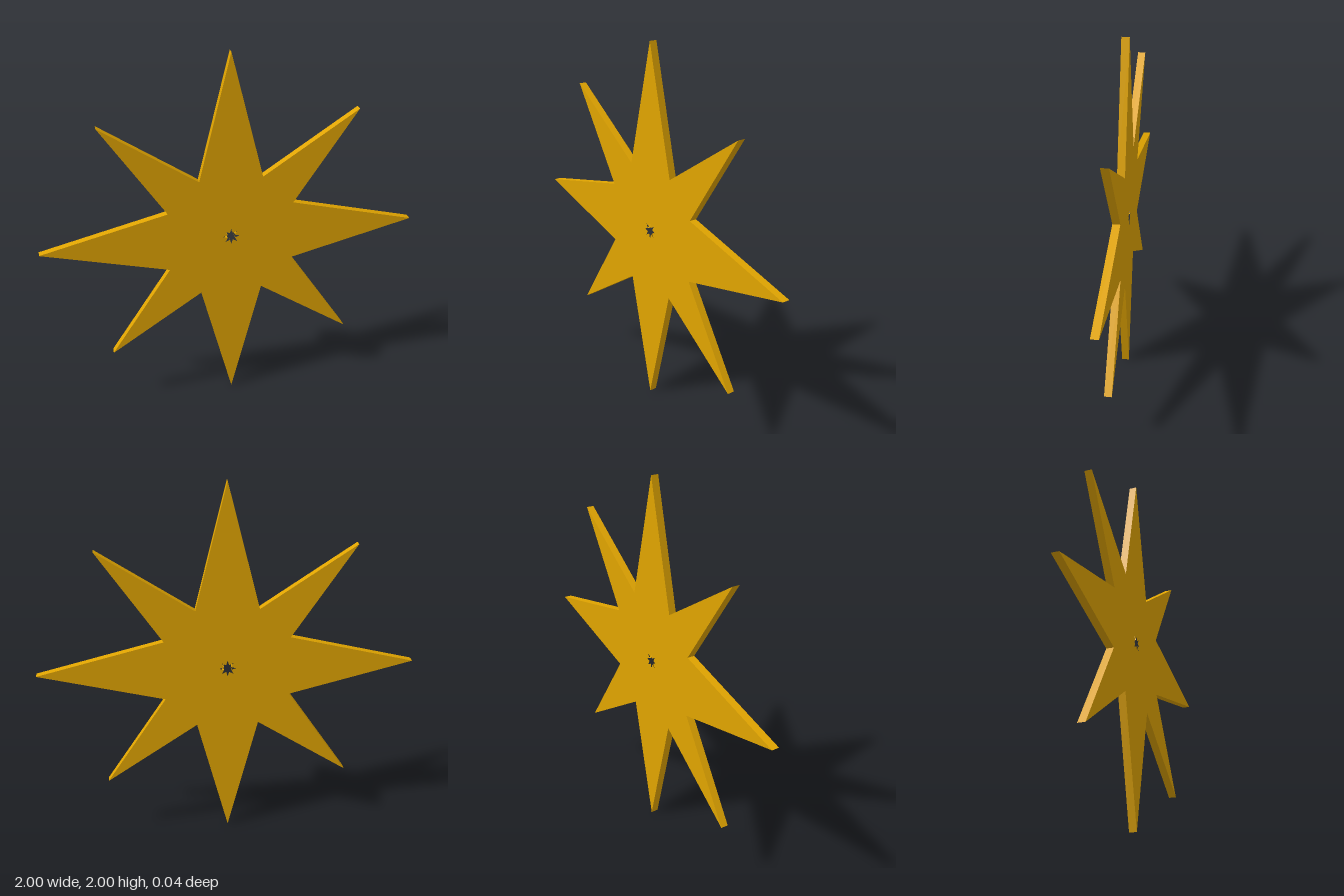
import * as THREE from 'three';

// Repeats a short list of corners round the centre
function ring(corners, turns) {
  const points = [];
  for (let i = 0; i < turns; i++) {
    for (const [x, y] of corners) {
      points.push(new THREE.Vector2(x, y).rotateAround(new THREE.Vector2(), -i * 2 * Math.PI / turns));
    }
  }
  return points;
}

export function createModel() {
  const gold = new THREE.MeshStandardMaterial({ color: 0xe0a400 });
  gold.name = 'golden yellow';

  // Long upright tip, notch, shorter diagonal tip, notch: repeated on four sides
  const shape = new THREE.Shape(ring([[0, 1], [0.167, 0.333], [0.664, 0.664], [0.333, 0.167]], 4));

  // Small hole in the middle with eight equal points
  const notch = Math.PI / 8;
  shape.holes.push(new THREE.Path(ring([[0, 0.045], [0.021 * Math.sin(notch), 0.021 * Math.cos(notch)]], 8)));

  const depth = 0.04;
  const geometry = new THREE.ExtrudeGeometry(shape, { depth, bevelEnabled: false });
  geometry.translate(0, 1, -depth / 2);

  const star = new THREE.Mesh(geometry, gold);
  star.name = 'starPlate';
  const group = new THREE.Group();
  group.name = 'eightPointedStar';
  group.add(star);
  return group;
}
